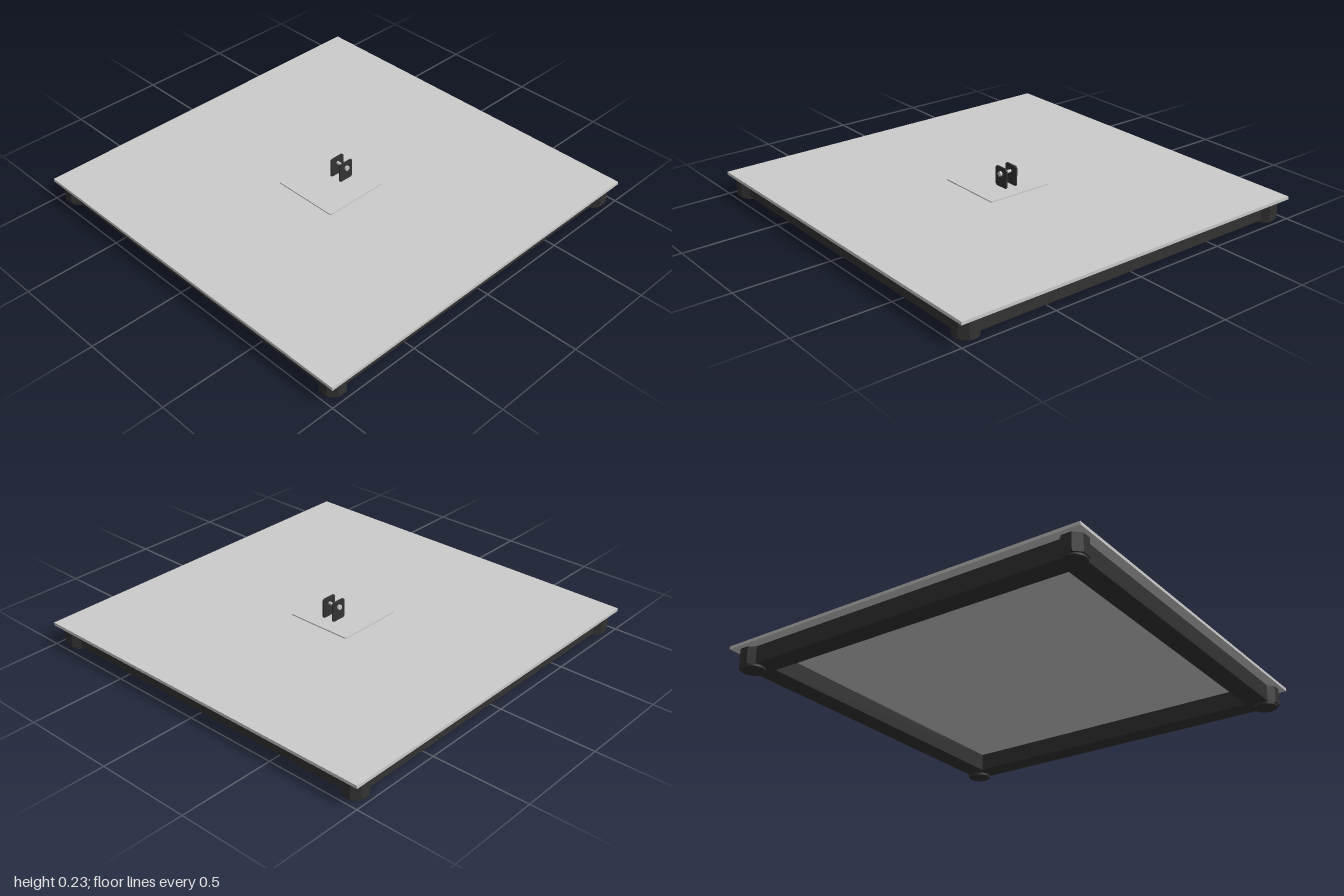
import * as THREE from 'three';

const dark = new THREE.MeshStandardMaterial({ color: 0x333333 });
const grey = new THREE.MeshStandardMaterial({ color: 0xbebebe });
const pale = new THREE.MeshStandardMaterial({ color: 0xcccccc });

// Rounded rectangle in XY, extruded along +z from 0 to depth
function roundedSlab(w, h, r, depth, hole) {
  const x = w / 2, y = h / 2;
  const s = new THREE.Shape();
  s.moveTo(-x + r, -y);
  s.lineTo(x - r, -y);
  s.absarc(x - r, -y + r, r, -Math.PI / 2, 0);
  s.lineTo(x, y - r);
  s.absarc(x - r, y - r, r, 0, Math.PI / 2);
  s.lineTo(-x + r, y);
  s.absarc(-x + r, y - r, r, Math.PI / 2, Math.PI);
  s.lineTo(-x, -y + r);
  s.absarc(-x + r, -y + r, r, Math.PI, Math.PI * 1.5);
  if (hole) s.holes.push(new THREE.Path().absarc(0, hole.y, hole.r, 0, Math.PI * 2, true));
  return new THREE.ExtrudeGeometry(s, { depth, bevelEnabled: false, curveSegments: 6 });
}

function add(parent, name, geometry, material, x = 0, y = 0, z = 0) {
  const mesh = new THREE.Mesh(geometry, material);
  mesh.name = name;
  mesh.position.set(x, y, z);
  parent.add(mesh);
  return mesh;
}

// Octagonal prism with flat sides facing the axes
function octagon(apothem, height) {
  const r = apothem / Math.cos(Math.PI / 8);
  return new THREE.CylinderGeometry(r, r, height, 8).rotateY(Math.PI / 8).toNonIndexed();
}

export function createModel() {
  const model = new THREE.Group();
  model.name = 'basePlatform';

  // Large square top plate
  add(model, 'topPlate', new THREE.BoxGeometry(2, 0.016, 2), grey, 0, 0.112, 0);

  // Frame of four beams with an octagonal post and foot at each corner
  const frame = new THREE.Group();
  frame.name = 'frame';
  model.add(frame);
  const outer = 0.95, width = 0.11, mid = outer - width / 2;
  for (const s of [-1, 1]) {
    add(frame, 'longBeam', new THREE.BoxGeometry(2 * outer, 0.092, width), dark, 0, 0.058, s * mid);
    add(frame, 'crossBeam', new THREE.BoxGeometry(width, 0.092, 2 * (outer - width)), dark, s * mid, 0.058, 0);
    for (const t of [-1, 1]) {
      const post = octagon(0.06, 0.09);
      post.computeVertexNormals();
      add(frame, 'cornerPost', post, dark, s * 0.92, 0.055, t * 0.92);
      add(frame, 'foot', new THREE.CylinderGeometry(0.06, 0.06, 0.012, 24), dark, s * 0.915, 0.006, t * 0.915);
    }
  }

  // Mounting pad lying on the plate, off centre
  add(model, 'mountingPad', roundedSlab(0.37, 0.37, 0.012, 0.007).rotateX(-Math.PI / 2), pale, -0.03, 0.119, 0);

  // Clevis: two upright lugs joined by a pin
  const clevis = new THREE.Group();
  clevis.name = 'clevis';
  clevis.position.set(0.04, 0.178, 0);
  model.add(clevis);
  const pinY = 0.019;
  for (const s of [-1, 1]) {
    add(clevis, 'lug', roundedSlab(0.084, 0.106, 0.012, 0.008, { y: pinY, r: 0.008 }), dark, 0, 0, s * 0.031 - 0.004);
    add(clevis, 'pinHead', new THREE.CylinderGeometry(0.013, 0.013, 0.011, 16).rotateX(Math.PI / 2), pale, 0, pinY, s * 0.0405);
  }
  add(clevis, 'pin', new THREE.CylinderGeometry(0.008, 0.008, 0.08, 16).rotateX(Math.PI / 2), pale, 0, pinY, 0);

  return model;
}
